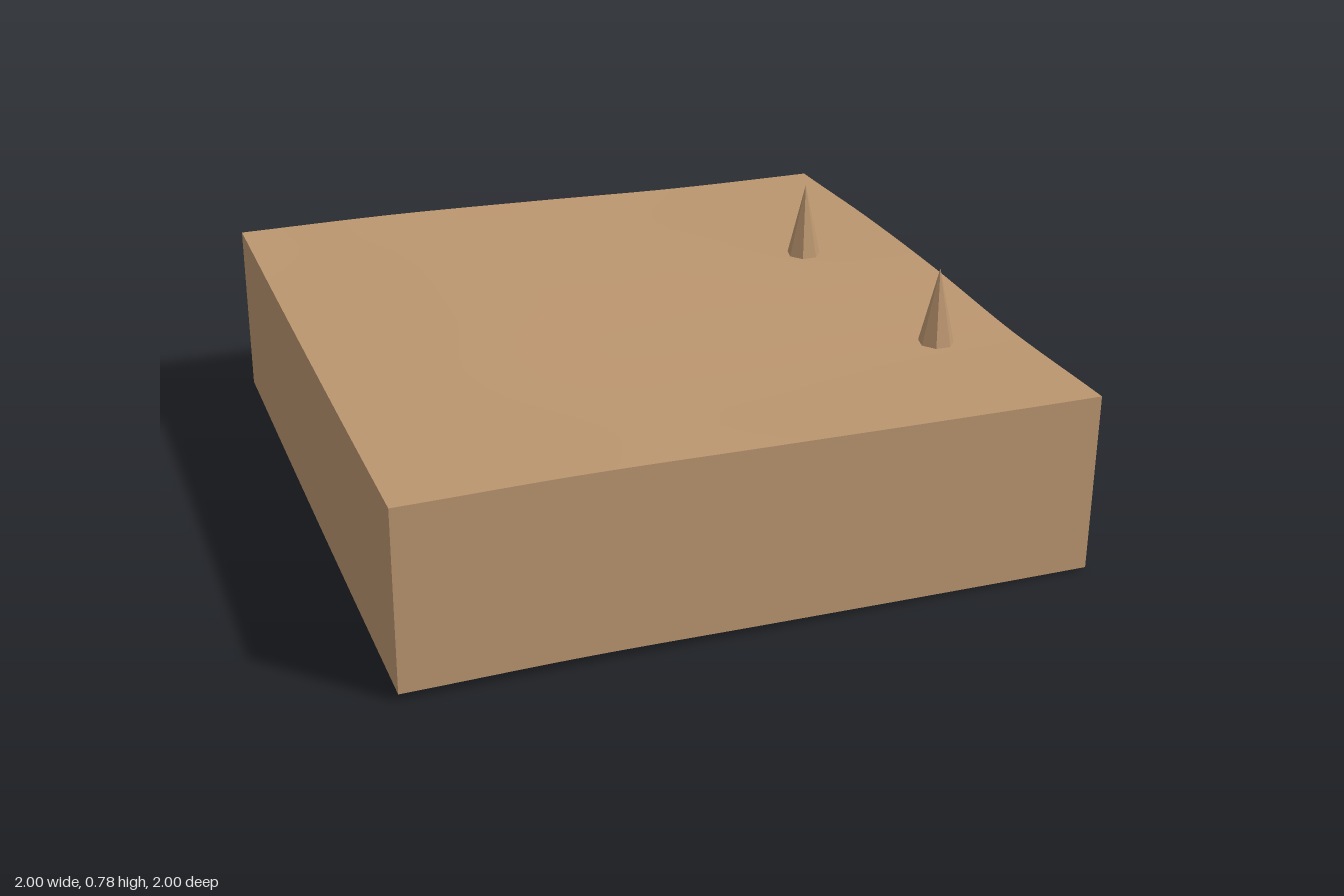
import * as THREE from 'three';

const sand = new THREE.MeshStandardMaterial({ color: 0xbb966f, side: THREE.DoubleSide });
sand.name = 'sand';

const DEPTH = 0.535, SEG = 24;

// Smooth height along an edge, t from 0 to 1, through evenly spaced samples
function profile(samples) {
  const curve = new THREE.SplineCurve(samples.map((y, i) => new THREE.Vector2(i, y)));
  return (t) => curve.getPoint(t).y;
}
const back = profile([0.572, 0.572, 0.56, 0.545, 0.542]);   // x -1 to 1
const front = profile([0.559, 0.564, 0.557, 0.55, 0.545]);
const left = profile([0.572, 0.565, 0.56, 0.558, 0.559]);   // z -1 to 1
const right = profile([0.542, 0.555, 0.554, 0.538, 0.545]);

// Ground height blended from the four edges
function height(x, z) {
  const u = (x + 1) / 2, v = (z + 1) / 2;
  const corners = (1 - v) * ((1 - u) * back(0) + u * back(1)) + v * ((1 - u) * front(0) + u * front(1));
  return (1 - v) * back(u) + v * front(u) + (1 - u) * left(v) + u * right(v) - corners;
}

function addMesh(group, name, geometry) {
  const mesh = new THREE.Mesh(geometry, sand);
  mesh.name = name;
  group.add(mesh);
  return mesh;
}

// Vertical skirt with a constant drop below the ground edge; at(s) gives [x, z] for s from -1 to 1
function skirt(at) {
  const geo = new THREE.PlaneGeometry(2, 1, SEG, 1);
  const p = geo.attributes.position;
  for (let i = 0; i < p.count; i++) {
    const [x, z] = at(p.getX(i));
    p.setXYZ(i, x, height(x, z) - (p.getY(i) < 0 ? DEPTH : 0), z);
  }
  geo.computeVertexNormals();
  return geo;
}

export function createModel() {
  const model = new THREE.Group();
  model.name = 'terrainTile';

  // Gently rolling ground
  const ground = new THREE.PlaneGeometry(2, 2, SEG, SEG).rotateX(-Math.PI / 2);
  const p = ground.attributes.position;
  for (let i = 0; i < p.count; i++) p.setY(i, height(p.getX(i), p.getZ(i)));
  ground.computeVertexNormals();
  addMesh(model, 'ground', ground);

  // Side skirts, open underneath
  addMesh(model, 'frontSkirt', skirt((s) => [s, 1]));
  addMesh(model, 'backSkirt', skirt((s) => [-s, -1]));
  addMesh(model, 'leftSkirt', skirt((s) => [1, -s]));
  addMesh(model, 'rightSkirt', skirt((s) => [-1, s]));

  // Seven-sided spikes
  for (const [x, z] of [[0.663, -0.25], [0.75, 0.5]]) {
    const cone = new THREE.ConeGeometry(0.053, 0.232, 7, 1, false, Math.PI).toNonIndexed();
    cone.computeVertexNormals();
    addMesh(model, 'spike', cone).position.set(x, height(x, z) + 0.114, z);
  }
  return model;
}
